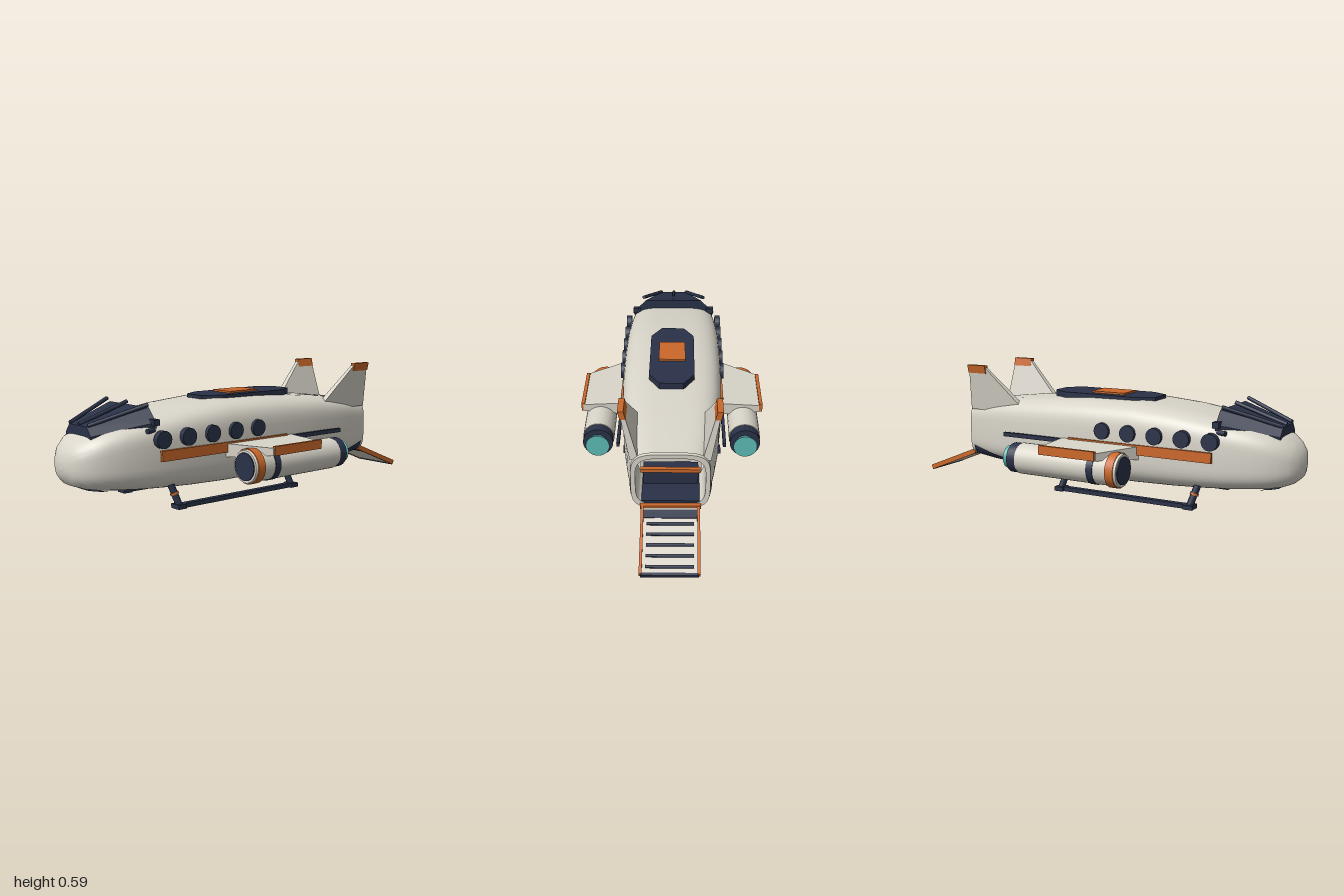
import * as THREE from 'three';
import { toCreasedNormals } from 'three/addons/utils/BufferGeometryUtils.js';

const paint = (name, color) => Object.assign(new THREE.MeshStandardMaterial({ color }), { name });

// Hull stations: z, half width, bottom, top, squareness
const STATIONS = [
  [-0.69, 0.165, 0.128, 0.4, 4.2], [-0.55, 0.19, 0.116, 0.42, 4.2], [-0.4, 0.212, 0.108, 0.438, 4.1],
  [-0.2, 0.23, 0.098, 0.457, 4], [0, 0.238, 0.093, 0.469, 4], [0.25, 0.24, 0.092, 0.472, 4],
  [0.45, 0.238, 0.098, 0.455, 4], [0.6, 0.23, 0.106, 0.433, 4], [0.7, 0.22, 0.112, 0.419, 3.9],
  [0.8, 0.199, 0.12, 0.4, 3.7], [0.87, 0.176, 0.126, 0.381, 3.4], [0.92, 0.15, 0.135, 0.358, 3.1],
  [0.96, 0.117, 0.15, 0.331, 2.8], [0.985, 0.08, 0.172, 0.304, 2.5], [0.997, 0.04, 0.205, 0.27, 2.2],
];

function station(z) {
  let i = 0;
  while (i < STATIONS.length - 2 && STATIONS[i + 1][0] < z) i++;
  const a = STATIONS[i], b = STATIONS[i + 1], k = (z - a[0]) / (b[0] - a[0]);
  return a.map((v, j) => v + (b[j] - v) * k);
}

// Point on the hull at angle t, grown outward by a small amount
function hullPoint(z, t, grow = 0) {
  const [, w, lo, hi, n] = station(z);
  const bulge = (v) => Math.sign(v) * Math.abs(v) ** (2 / n);
  return [(w + grow) * bulge(Math.cos(t)), (lo + hi) / 2 + ((hi - lo) / 2 + grow) * bulge(Math.sin(t)), z];
}

const hullRing = (z, grow = 0, count = 56) =>
  Array.from({ length: count }, (_, i) => hullPoint(z, (i / count) * Math.PI * 2, grow));

// Skin over a row of cross-sections, optionally closed round and capped
function loft(rings, { closed = true, caps = true, crease = 0.6 } = {}) {
  const n = rings[0].length, pos = rings.flat(2), index = [];
  for (let i = 0; i < rings.length - 1; i++) {
    for (let j = 0; j < (closed ? n : n - 1); j++) {
      const k = (j + 1) % n, a = i * n + j, b = i * n + k;
      index.push(a, b, b + n, a, b + n, a + n);
    }
  }
  if (caps) {
    [0, rings.length - 1].forEach((r, end) => {
      const c = pos.length / 3;
      pos.push(...[0, 1, 2].map((d) => rings[r].reduce((s, p) => s + p[d], 0) / n));
      for (let j = 0; j < n; j++) {
        const a = r * n + j, b = r * n + ((j + 1) % n);
        index.push(c, ...(end ? [a, b] : [b, a]));
      }
    });
  }
  const g = new THREE.BufferGeometry();
  g.setAttribute('position', new THREE.Float32BufferAttribute(pos, 3));
  g.setIndex(index);
  return toCreasedNormals(g, crease);
}

// Mirror a cross-section to the given side, keeping its faces outward
const sided = (ring, s) => (s > 0 ? ring : ring.map(([x, y, z]) => [-x, y, z]).reverse());

export function createModel() {
  const model = new THREE.Group();
  const white = paint('hull white', 0xd8d4c9);
  const navy = paint('navy trim', 0x2a3248);
  const orange = paint('orange trim', 0xcb682a);
  const teal = paint('engine glow', 0x5fbdb8);
  white.side = navy.side = THREE.DoubleSide;

  const add = (name, geo, mat, p = [0, 0, 0], parent = model) => {
    const m = new THREE.Mesh(geo, mat);
    m.name = name;
    m.position.set(...p);
    parent.add(m);
    return m;
  };
  const box = (name, size, mat, p, parent) => add(name, new THREE.BoxGeometry(...size), mat, p, parent);
  const rod = (name, from, to, r, mat) => {
    const a = new THREE.Vector3(...from), d = new THREE.Vector3(...to).sub(a);
    const m = add(name, new THREE.CylinderGeometry(r, r, d.length(), 10), mat);
    m.position.copy(a).addScaledVector(d, 0.5);
    m.quaternion.setFromUnitVectors(new THREE.Vector3(0, 1, 0), d.normalize());
    return m;
  };
  // Drum along z, between two depths
  const drum = (name, x, y, z0, z1, r0, r1, mat) => {
    const g = new THREE.CylinderGeometry(r1, r0, z1 - z0, 28).rotateX(Math.PI / 2);
    return add(name, g, mat, [x, y, (z0 + z1) / 2]);
  };
  // Painted patch lying on the hull between two angle rules
  const patch = (name, z0, z1, low, high, mat) => {
    const rings = Array.from({ length: 9 }, (_, i) => {
      const k = i / 8, z = z0 + (z1 - z0) * k;
      return Array.from({ length: 13 }, (_, j) => hullPoint(z, low(k) + ((high(k) - low(k)) * j) / 12, 0.005));
    });
    return add(name, loft(rings, { closed: false, caps: false }), mat);
  };

  // Hull, open at the tail
  const hull = STATIONS.map((s) => hullRing(s[0]));
  hull.push(hullRing(0.997).map(([x, y]) => [x * 0.4, 0.2375 + (y - 0.2375) * 0.4, 1]));
  add('hull', loft(hull, { caps: false, crease: 1 }), white);
  add('noseTip', loft([hull.at(-1), hull.at(-1).map(() => [0, 0.2375, 1])], { caps: false }), white);

  // Cargo bay lining, rim, back wall and sill
  const inner = hullRing(-0.69, -0.016);
  add('cargoBay', loft([inner.map(([x, y]) => [x, y, -0.48]), inner, hullRing(-0.69, 0.004), hullRing(-0.675, 0.004)], { caps: false }), white);
  box('bayWall', [0.27, 0.21, 0.01], white, [0, 0.264, -0.485]);
  box('bayFloor', [0.25, 0.02, 0.2], navy, [0, 0.155, -0.59]);
  box('bayLocker', [0.24, 0.08, 0.06], navy, [0, 0.2, -0.54]);
  box('doorBar', [0.25, 0.016, 0.02], orange, [0, 0.332, -0.695]);
  box('rampHinge', [0.26, 0.016, 0.02], orange, [0, 0.144, -0.7]);

  // Loading ramp with treads
  const ramp = new THREE.Group();
  ramp.name = 'ramp';
  ramp.position.set(0, 0.139, -0.7);
  ramp.rotation.x = -0.386;
  model.add(ramp);
  box('rampPlate', [0.235, 0.012, 0.31], white, [0, 0, -0.16], ramp);
  box('rampHead', [0.24, 0.018, 0.04], navy, [0, 0.001, -0.038], ramp);
  box('rampFoot', [0.24, 0.02, 0.012], navy, [0, 0, -0.314], ramp);
  for (let i = 0; i < 5; i++) box('rampTread', [0.2, 0.006, 0.013], navy, [0, 0.008, -0.085 - i * 0.049], ramp);
  for (const s of [1, -1]) box('rampRail', [0.012, 0.024, 0.31], orange, [s * 0.12, 0.003, -0.16], ramp);

  // Windshield visor and its three struts
  const visor = (z, wide, narrow, y0, y1, y2) =>
    [[-wide, y0, z], [wide, y0, z], [wide, y1, z], [narrow, y2, z], [-narrow, y2, z], [-wide, y1, z]];
  add('windshield', loft([visor(0.66, 0.205, 0.15, 0.385, 0.41, 0.468), visor(0.915, 0.1, 0.07, 0.345, 0.362, 0.4)], { crease: 0.2 }), navy);
  for (const s of [-1, 0, 1]) rod('windshieldStrut', [s * 0.07, 0.404, 0.91], [s * 0.16, 0.482, 0.67], 0.009, navy);
  patch('chinPlate', 0.84, 0.905, () => Math.PI * 1.5 - 0.47, () => Math.PI * 1.5 + 0.47, navy);

  // Roof hatch
  const octagon = [[0.055, -0.3], [0.105, -0.215], [0.105, 0.165], [0.055, 0.245], [-0.055, 0.245], [-0.105, 0.165], [-0.105, -0.215], [-0.055, -0.3]];
  const hatch = new THREE.ExtrudeGeometry(new THREE.Shape(octagon.map((p) => new THREE.Vector2(...p))), { depth: 0.03, bevelEnabled: false });
  add('roofHatch', hatch.rotateX(-Math.PI / 2), navy, [0, 0.454, 0]);
  box('hatchPanel', [0.125, 0.009, 0.175], orange, [0, 0.488, 0.05]);

  for (const s of [1, -1]) {
    // Portholes, side stripe and rail
    for (let i = 0; i < 5; i++) {
      add('porthole', new THREE.CylinderGeometry(0.038, 0.038, 0.028, 20).rotateZ(Math.PI / 2), navy, [s * 0.239, 0.34, 0.652 - i * 0.1325]);
    }
    box('sideStripe', [0.014, 0.046, 0.72], orange, [s * 0.24, 0.27, 0.3]);
    box('sideRail', [0.014, 0.02, 0.5], navy, [s * 0.238, 0.274, -0.18]);
    box('visorHinge', [0.04, 0.026, 0.03], navy, [s * 0.196, 0.41, 0.665]);
    rod('sensor', [s * 0.2, 0.377, 0.67], [s * 0.21, 0.377, 0.71], 0.011, navy);
    const mid = s > 0 ? Math.PI * 2 - 0.8 : Math.PI + 0.8;
    patch('tailChine', -0.4, -0.67, (k) => mid + 0.52 * k, (k) => mid - 0.52 * k, navy);

    // Wing and tip bar
    const wingRib = (x, y0, y1, z0, z1) => sided([[x, y0, z0], [x, y1, z0], [x, y1, z1], [x, y0, z1]], s);
    add('wing', loft([wingRib(0.22, 0.224, 0.287, -0.1, 0.32), wingRib(0.425, 0.242, 0.276, -0.1, 0.195)]), white);
    box('wingTip', [0.016, 0.042, 0.29], orange, [s * 0.425, 0.263, 0.045]);

    // Engine
    const x = s * 0.341, y = 0.193;
    drum('engineBody', x, y, -0.25, 0.28, 0.073, 0.073, white);
    drum('engineCollar', x, y, 0.235, 0.275, 0.08, 0.08, orange);
    drum('engineLip', x, y, 0.27, 0.286, 0.078, 0.073, white);
    drum('engineIntake', x, y, 0.28, 0.291, 0.063, 0.063, navy);
    drum('engineBand', x, y, 0.137, 0.17, 0.076, 0.076, navy);
    drum('engineNozzle', x, y, -0.296, -0.245, 0.07, 0.07, navy);
    drum('engineGlow', x, y, -0.325, -0.29, 0.055, 0.04, teal);

    // Tail fin and cap
    const finRib = (fy, z0, z1, cx, h) => sided([[cx - h, fy, z0], [cx - h, fy, z1], [cx + h, fy, z1], [cx + h, fy, z0]], s);
    add('tailFin', loft([finRib(0.37, -0.68, -0.34, 0.152, 0.018), finRib(0.59, -0.66, -0.565, 0.2, 0.009)]), white);
    add('finCap', loft([finRib(0.558, -0.665, -0.56, 0.195, 0.0125), finRib(0.598, -0.665, -0.56, 0.204, 0.0125)]), orange);

    // Landing skid
    box('skid', [0.028, 0.02, 0.7], navy, [s * 0.21, 0.036, 0.222]);
    for (const [z, lean] of [[0.55, 0.025], [-0.12, 0.025]]) {
      const top = [s * 0.185, 0.13, z + lean], foot = [s * 0.21, 0.04, z];
      rod('skidLeg', top, foot, 0.016, navy);
      const at = (k) => top.map((v, i) => v + (foot[i] - v) * k);
      rod('legCuff', at(0.38), at(0.48), 0.02, orange);
      box('skidFoot', [0.054, 0.02, 0.045], navy, [s * 0.21, 0.036, z]);
    }
  }
  return model;
}
